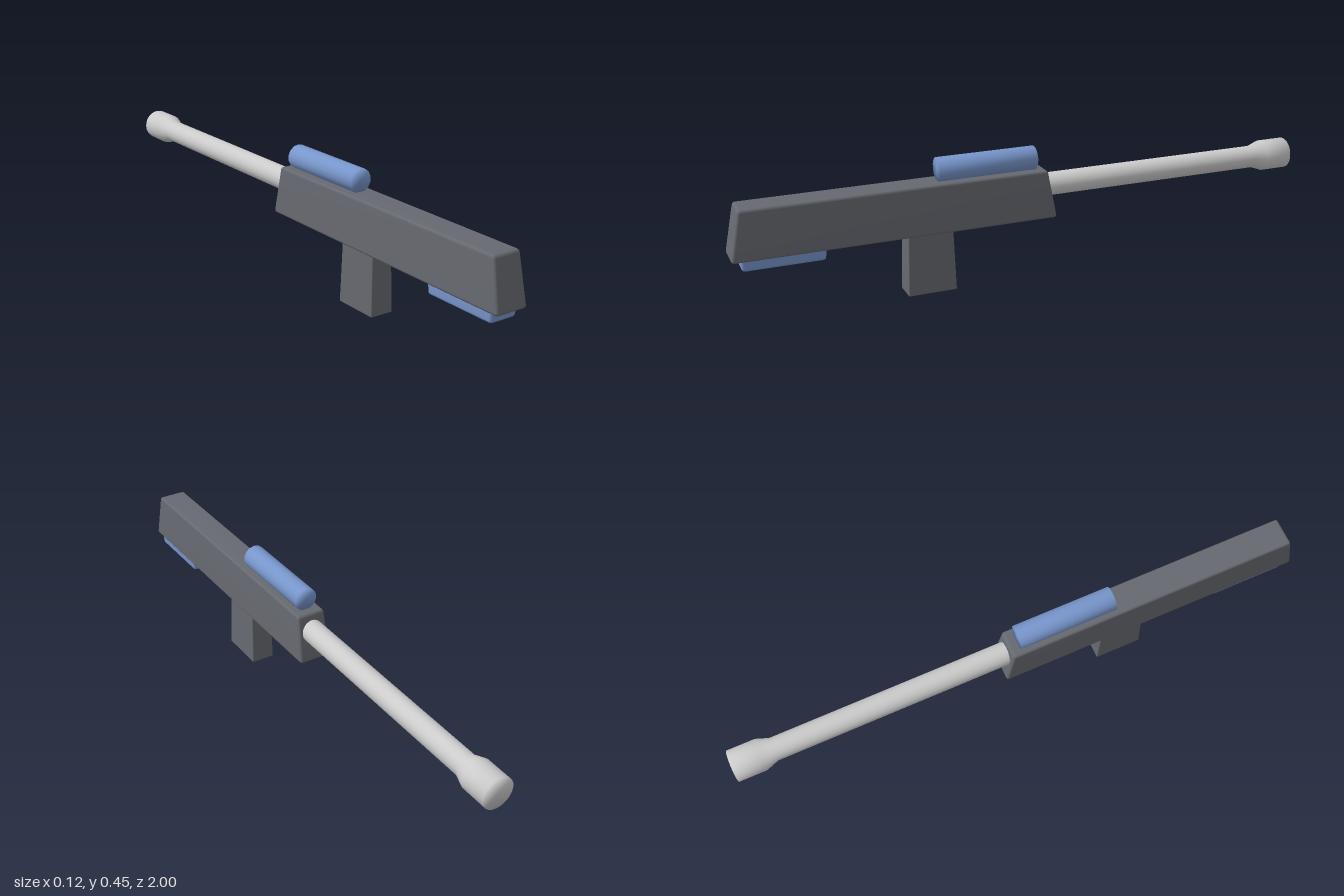
import * as THREE from 'three';
import { mergeVertices } from 'three/addons/utils/BufferGeometryUtils.js';
import { RoundedBoxGeometry } from 'three/addons/geometries/RoundedBoxGeometry.js';

const dark = new THREE.MeshStandardMaterial({ color: 0x666970 });
const blue = new THREE.MeshStandardMaterial({ color: 0x7896cc });
const grey = new THREE.MeshStandardMaterial({ color: 0xcccccc });

// Share vertices so that shading is smooth across every edge
function smooth(geometry) {
  geometry.deleteAttribute('normal');
  geometry.deleteAttribute('uv');
  const merged = mergeVertices(geometry, 1e-5);
  merged.computeVertexNormals();
  return merged;
}

// Soft-edged block whose half width and z range change from bottom to top
function taperedBlock(name, material, bottom, top, radius) {
  const height = top.y - bottom.y;
  const length = bottom.z1 - bottom.z0;
  const geometry = new RoundedBoxGeometry(bottom.w * 2, height, length, 2, radius);
  const p = geometry.attributes.position;
  for (let i = 0; i < p.count; i++) {
    const t = p.getY(i) / height + 0.5;
    const u = p.getZ(i) / length + 0.5;
    const z0 = THREE.MathUtils.lerp(bottom.z0, top.z0, t);
    const z1 = THREE.MathUtils.lerp(bottom.z1, top.z1, t);
    const w = THREE.MathUtils.lerp(bottom.w, top.w, t);
    p.setXYZ(i, p.getX(i) * w / bottom.w, bottom.y + t * height, z0 + u * (z1 - z0));
  }
  const mesh = new THREE.Mesh(smooth(geometry), material);
  mesh.name = name;
  return mesh;
}

// Closed round part along z, from [radius, z] pairs running back to front
function roundPart(name, material, profile, y, sides) {
  const points = profile.map(([r, z]) => new THREE.Vector2(r, z));
  const geometry = new THREE.LatheGeometry(points, sides);
  geometry.rotateX(Math.PI / 2);
  const mesh = new THREE.Mesh(smooth(geometry), material);
  mesh.name = name;
  mesh.position.y = y;
  return mesh;
}

export function createModel() {
  const model = new THREE.Group();
  model.name = 'rifle';

  model.add(
    taperedBlock('body', dark,
      { y: 0.207, w: 0.058, z0: -0.077, z1: 1.0 },
      { y: 0.373, w: 0.05, z0: -0.046, z1: 0.967 }, 0.01),
    taperedBlock('grip', dark,
      { y: 0, w: 0.042, z0: 0.278, z1: 0.444 },
      { y: 0.225, w: 0.037, z0: 0.285, z1: 0.437 }, 0.004),
    taperedBlock('stockPad', blue,
      { y: 0.173, w: 0.048, z0: 0.707, z1: 0.968 },
      { y: 0.222, w: 0.051, z0: 0.704, z1: 0.971 }, 0.01),
    // Scope resting on the body
    roundPart('scope', blue,
      [[0, -0.014], [0.04, -0.014], [0.04, 0.324], [0, 0.324]], 0.409, 14),
    // Barrel with a flared muzzle
    roundPart('barrel', grey,
      [[0, -1], [0.054, -1], [0.054, -0.905], [0.039, -0.862], [0.039, -0.04], [0, -0.04]], 0.31, 24)
  );
  return model;
}
